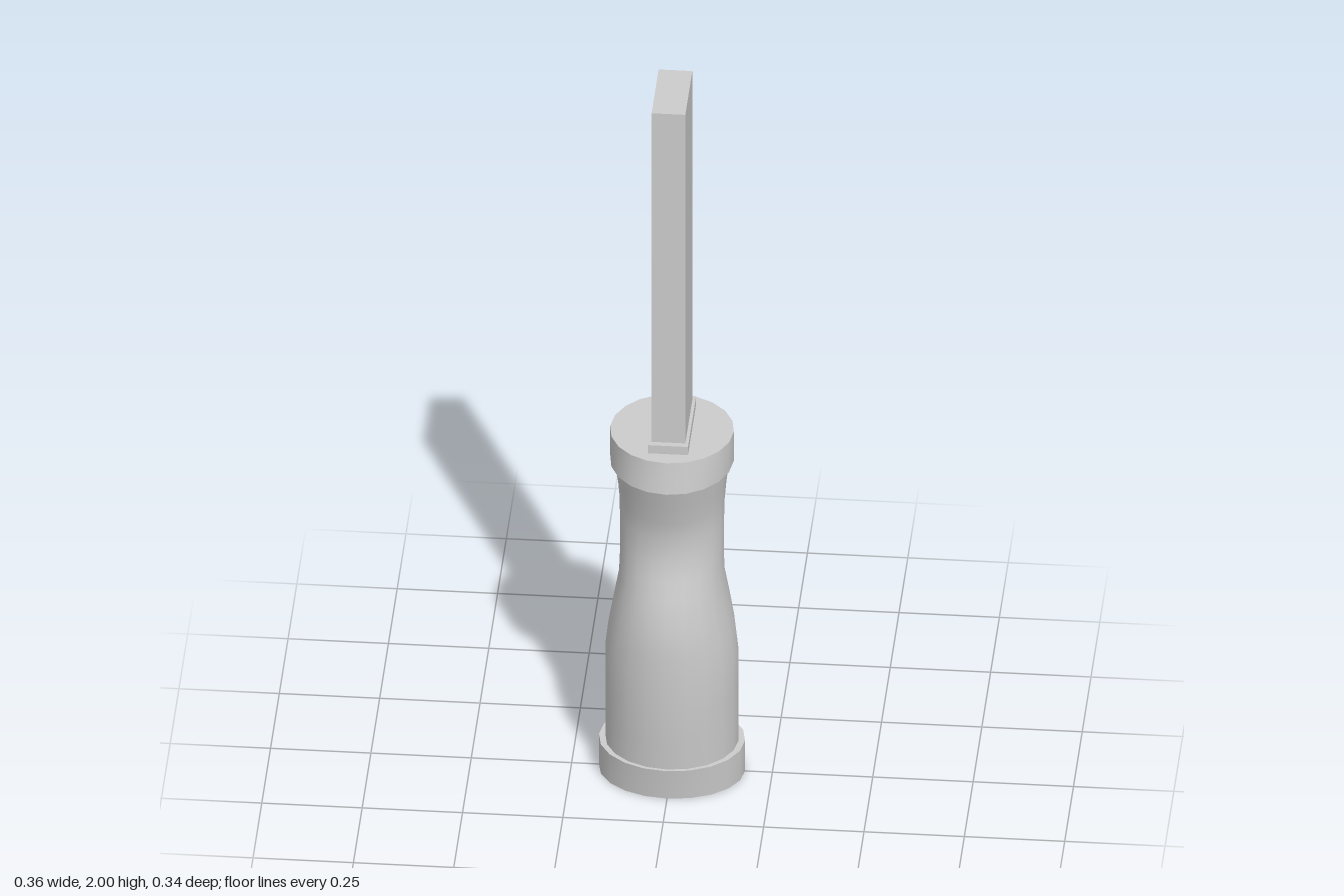
import * as THREE from 'three';
import { toCreasedNormals } from 'three/addons/utils/BufferGeometryUtils.js';

const material = new THREE.MeshStandardMaterial({ color: 0xcccccc });

// Closed body with elliptical cross-sections [y, halfWidthX, halfDepthZ], bottom to top
function ellipticalBody(name, sections) {
  const n = sections.length - 1;
  const geometry = new THREE.CylinderGeometry(1, 1, 1, 20, n);
  const p = geometry.attributes.position;
  for (let i = 0; i < p.count; i++) {
    const [y, rx, rz] = sections[Math.round((p.getY(i) + 0.5) * n)];
    p.setXYZ(i, p.getX(i) * rx, y, p.getZ(i) * rz);
  }
  const mesh = new THREE.Mesh(toCreasedNormals(geometry, 0.7), material);
  mesh.name = name;
  return mesh;
}

function block(name, width, depth, bottom, top) {
  const mesh = new THREE.Mesh(new THREE.BoxGeometry(width, top - bottom, depth), material);
  mesh.position.y = (bottom + top) / 2;
  mesh.name = name;
  return mesh;
}

export function createModel() {
  const group = new THREE.Group();
  group.name = 'chisel';

  // Handle: flared end cap, waisted grip and collar
  group.add(ellipticalBody('endCap', [[0, 0.182, 0.142], [0.09, 0.182, 0.156]]));
  group.add(ellipticalBody('grip', [
    [0.08, 0.166, 0.147],
    [0.17, 0.166, 0.156],
    [0.26, 0.166, 0.163],
    [0.36, 0.166, 0.166],
    [0.43, 0.158, 0.166],
    [0.5, 0.146, 0.163],
    [0.58, 0.132, 0.143],
    [0.63, 0.13, 0.126],
    [0.68, 0.13, 0.114],
    [0.75, 0.13, 0.113],
    [0.8, 0.131, 0.124],
    [0.86, 0.136, 0.143],
    [0.925, 0.145, 0.163],
  ]));
  group.add(ellipticalBody('collar', [[0.917, 0.154, 0.169], [1.003, 0.154, 0.158]]));

  // Blade with its seat on the collar
  group.add(block('bladeSeat', 0.1, 0.232, 0.99, 1.027));
  group.add(block('blade', 0.084, 0.2, 1.0, 2));

  return group;
}
